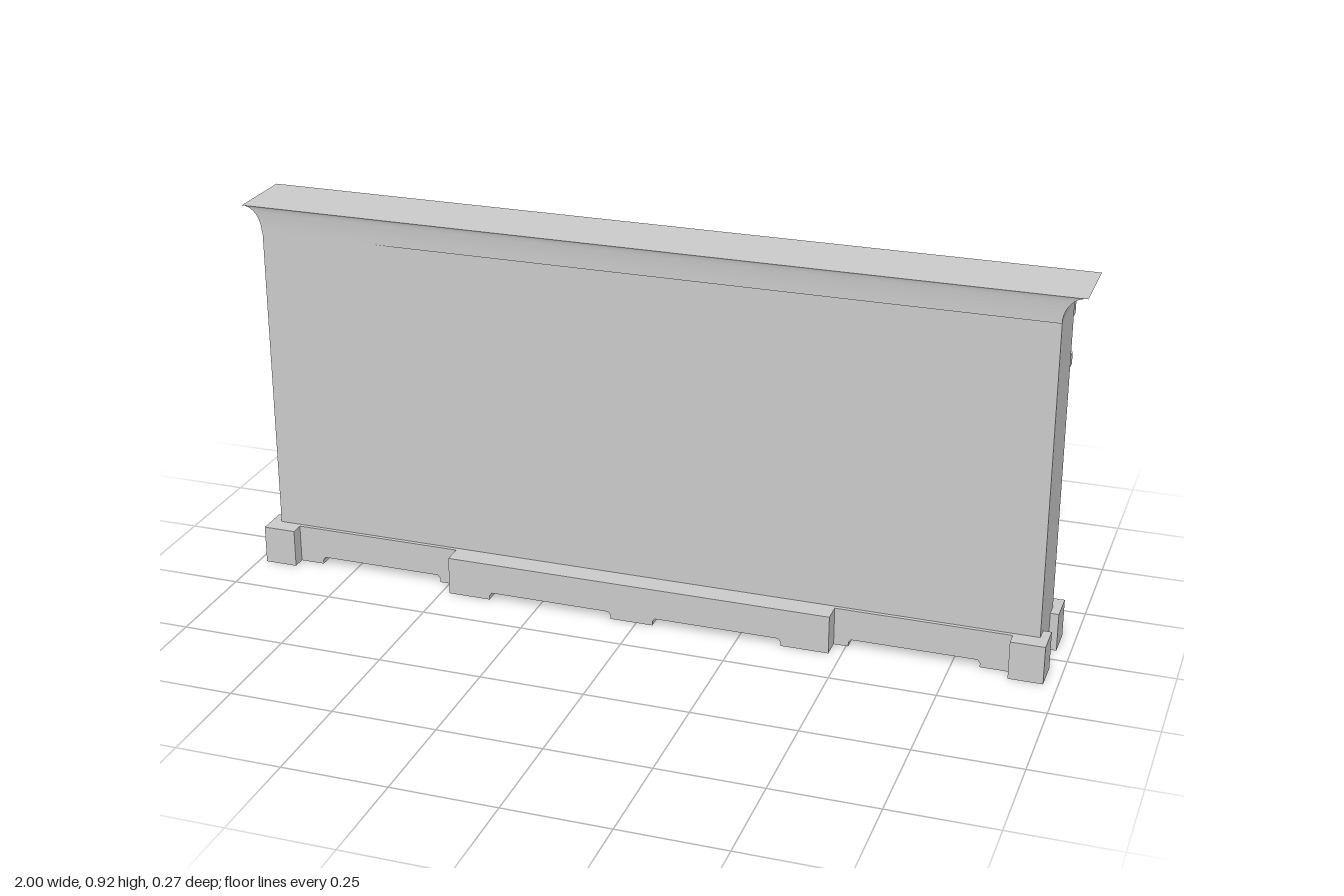
import * as THREE from 'three';
import { toCreasedNormals } from 'three/addons/utils/BufferGeometryUtils.js';

const material = new THREE.MeshStandardMaterial({ color: 0xcccccc });

function addMesh(parent, name, geometry) {
  const mesh = new THREE.Mesh(geometry, material);
  mesh.name = name;
  parent.add(mesh);
  return mesh;
}

// Box given by its two extreme corners.
function addBox(parent, name, [x0, y0, z0], [x1, y1, z1]) {
  const mesh = addMesh(parent, name, new THREE.BoxGeometry(x1 - x0, y1 - y0, z1 - z0));
  mesh.position.set((x0 + x1) / 2, (y0 + y1) / 2, (z0 + z1) / 2);
}

function rectPoints(x0, y0, x1, y1) {
  return [[x0, y0], [x1, y0], [x1, y1], [x0, y1]].map(([x, y]) => new THREE.Vector2(x, y));
}

const FEET = [[-0.98, -0.84], [-0.525, -0.375], [-0.065, 0.04], [0.355, 0.505], [0.815, 0.967]];
const BASE_TOP = 0.094;
const NOTCH = 0.018;

// Plinth strip whose underside is raised between the feet.
function addPlinth(parent, name, x0, x1, z0, z1) {
  const outline = [];
  for (const [a, b] of FEET) {
    if (b <= x0 || a >= x1) continue;
    if (a > x0) outline.push([a - 0.006, NOTCH], [a, NOTCH - 0.008], [a, 0]);
    else outline.push([x0, 0]);
    if (b < x1) outline.push([b, 0], [b, NOTCH - 0.008], [b + 0.006, NOTCH]);
    else outline.push([x1, 0]);
  }
  outline.push([x1, BASE_TOP], [x0, BASE_TOP]);
  const shape = new THREE.Shape(outline.map(([x, y]) => new THREE.Vector2(x, y)));
  const geometry = new THREE.ExtrudeGeometry(shape, { depth: z1 - z0, bevelEnabled: false });
  addMesh(parent, name, geometry).position.z = z0;
}

// Rectangular top slab with concave flared sides.
function corniceGeometry() {
  const steps = 10;
  const rings = [];
  for (let i = 0; i <= steps; i++) {
    const a = (i / steps) * Math.PI / 2;
    const flare = 1 - Math.cos(a);
    const y = 0.853 + 0.064 * Math.sin(a);
    const x0 = -0.955 - 0.045 * flare, x1 = 0.947 + 0.053 * flare;
    const z = 0.083 + 0.006 * flare;
    rings.push([[x0, y, z], [x1, y, z], [x1, y, -z], [x0, y, -z]]);
  }
  const positions = [];
  const quad = (a, b, c, d) => positions.push(...a, ...b, ...c, ...a, ...c, ...d);
  for (let i = 0; i < steps; i++) {
    for (let k = 0; k < 4; k++) {
      const n = (k + 1) % 4;
      quad(rings[i][k], rings[i][n], rings[i + 1][n], rings[i + 1][k]);
    }
  }
  quad(...rings[steps]);
  quad(...[...rings[0]].reverse());
  const geometry = new THREE.BufferGeometry();
  geometry.setAttribute('position', new THREE.Float32BufferAttribute(positions, 3));
  geometry.computeVertexNormals();
  return toCreasedNormals(geometry, 0.6);
}

export function createModel() {
  const model = new THREE.Group();
  model.name = 'counter';

  // Shelf frame, open to the back
  const frame = new THREE.Shape(rectPoints(-0.955, 0.038, 0.947, 0.855));
  const columns = [[-0.877, -0.465], [-0.435, 0.42], [0.45, 0.868]];
  const rows = [[0.13, 0.34], [0.385, 0.58], [0.62, 0.85]];
  for (const [x0, x1] of columns) {
    for (const [y0, y1] of rows) {
      frame.holes.push(new THREE.Path(rectPoints(x0, y0, x1, y1).reverse()));
    }
  }
  const shelves = new THREE.ExtrudeGeometry(frame, { depth: 0.142, bevelEnabled: false });
  addMesh(model, 'shelfFrame', shelves).position.z = -0.078;

  // Plain front
  addBox(model, 'frontPanel', [-0.955, 0.038, 0.064], [0.947, 0.855, 0.08]);

  addMesh(model, 'cornice', corniceGeometry());

  // Front and back plinths with thicker centre and corner blocks
  const base = new THREE.Group();
  base.name = 'base';
  model.add(base);
  for (const side of [1, -1]) {
    const label = side > 0 ? 'front' : 'back';
    const plinth = (name, x0, x1, near, far) => {
      const z = [near * side, far * side].sort((p, q) => p - q);
      addPlinth(base, label + name, x0, x1, z[0], z[1]);
    };
    plinth('Rail', -0.98, 0.967, 0.045, 0.09);
    if (side > 0) plinth('CentreBlock', -0.48, 0.47, 0.09, 0.138);
    else plinth('CentreBlock', -0.49, 0.45, 0.09, 0.137);
    plinth('RightCornerBlock', -0.98, -0.9, 0.09, 0.123);
    plinth('LeftCornerBlock', 0.886, 0.967, 0.09, 0.123);
  }

  // Pairs of lugs at the upper back corners
  for (const [label, x0, x1] of [['right', -0.953, -0.877], ['left', 0.868, 0.945]]) {
    addBox(model, label + 'UpperLug', [x0, 0.807, -0.115], [x1, 0.853, -0.075]);
    addBox(model, label + 'LowerLug', [x0, 0.686, -0.115], [x1, 0.715, -0.075]);
  }

  return model;
}
